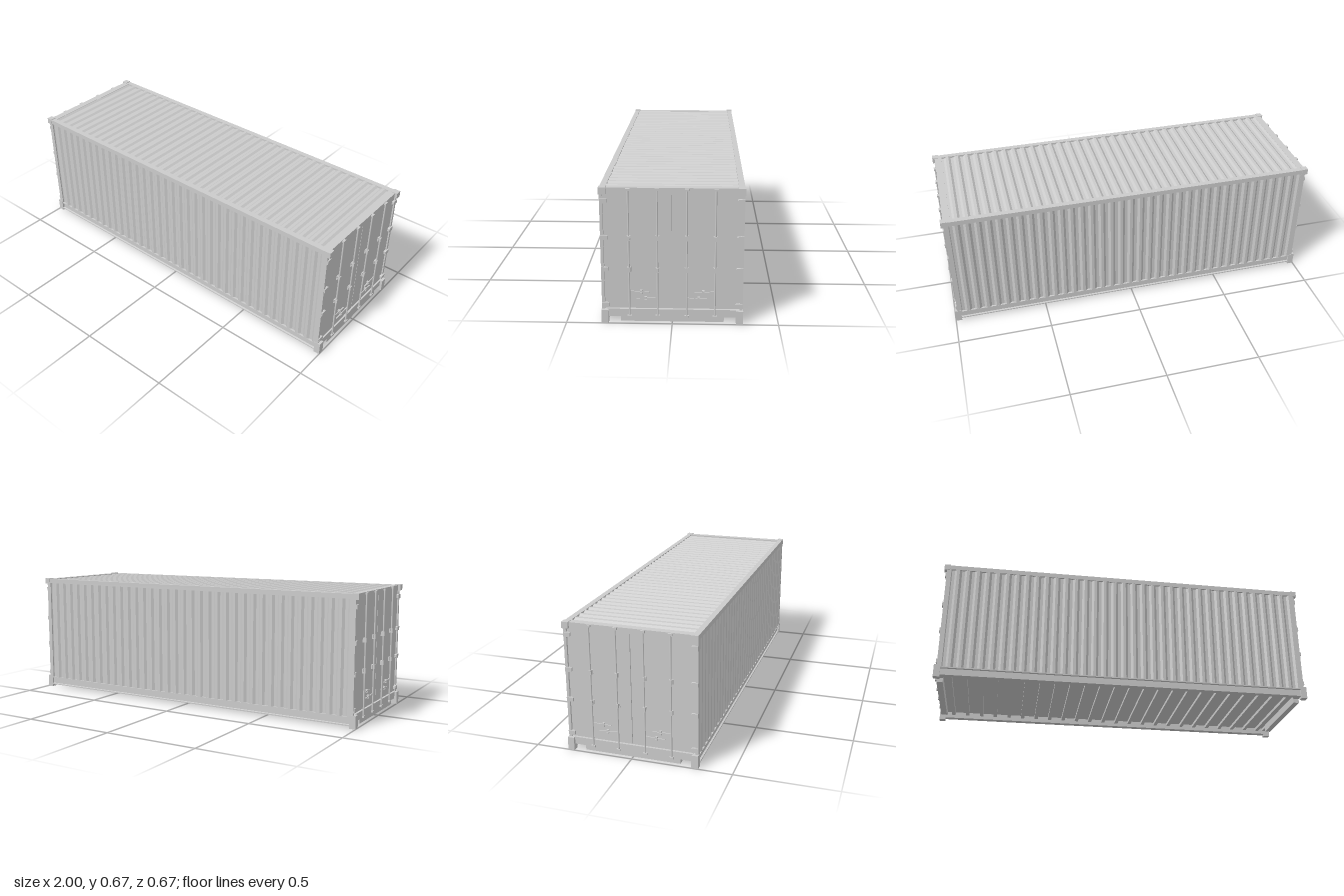
import * as THREE from 'three';

const material = new THREE.MeshStandardMaterial({ color: 0xcccccc, flatShading: true });
const smooth = new THREE.MeshStandardMaterial({ color: 0xcccccc });

function add(parent, name, geometry, mat = material) {
  const mesh = new THREE.Mesh(geometry, mat);
  mesh.name = name;
  parent.add(mesh);
  return mesh;
}

// Box given by its limits on each axis
function box(parent, name, x0, x1, y0, y1, z0, z1) {
  const g = new THREE.BoxGeometry(x1 - x0, y1 - y0, z1 - z0);
  g.translate((x0 + x1) / 2, (y0 + y1) / 2, (z0 + z1) / 2);
  return add(parent, name, g);
}

function extrude(points, depth) {
  const shape = new THREE.Shape(points.map(([x, y]) => new THREE.Vector2(x, y)));
  return new THREE.ExtrudeGeometry(shape, { depth, bevelEnabled: false });
}

// Outline in (z, y), extruded from x0 to x1
function alongX(parent, name, points, x0, x1) {
  const g = extrude(points.map(([z, y]) => [-z, y]), x1 - x0);
  g.rotateY(Math.PI / 2);
  g.translate(x0, 0, 0);
  return add(parent, name, g);
}

// Trapezoid corrugation along x, with a flat inner side
function corrugated(half, count, crest, valley, inner, depth) {
  const p = (2 * half) / count;
  const pts = [[-half, inner]];
  for (let i = 0; i < count; i++) {
    const x = -half + i * p;
    pts.push([x, crest], [x + 0.28 * p, crest], [x + 0.5 * p, valley], [x + 0.78 * p, valley]);
  }
  pts.push([half, crest], [half, inner]);
  return extrude(pts, depth);
}

// One long side: corrugated wall, top rail and bottom channel
function createSide() {
  const side = new THREE.Group();
  side.name = 'side';
  const wall = corrugated(0.97, 36, 0.3305, 0.321, 0.308, 0.59);
  wall.rotateX(-Math.PI / 2);
  wall.rotateY(Math.PI);
  wall.translate(0, 0.053, 0);
  add(side, 'sideWall', wall);
  box(side, 'topRail', -0.975, 0.975, 0.637, 0.662, 0.303, 0.331);
  alongX(side, 'bottomRail', [
    [0.3, 0.012], [0.331, 0.012], [0.331, 0.018], [0.322, 0.02],
    [0.322, 0.05], [0.331, 0.052], [0.331, 0.058], [0.3, 0.058],
  ], -0.975, 0.975);
  return side;
}

// Tapered handle lever with its latch, swung from the bar at z0 to z1
function createHandle(parent, z0, z1, y, latchZ) {
  const s = Math.sign(z1 - z0);
  const pts = [[z0, y + 0.006], [z0 + s * 0.03, y + 0.003], [z1, y + 0.001],
    [z1, y - 0.002], [z0 + s * 0.03, y - 0.003], [z0, y - 0.006]];
  alongX(parent, 'handle', pts, 0.985, 0.99);
  box(parent, 'handleLatch', 0.978, 0.992, y + 0.002, y + 0.009, latchZ - 0.005, latchZ + 0.005);
  box(parent, 'handleLatch', 0.978, 0.992, y - 0.01, y - 0.003, latchZ - 0.005, latchZ + 0.005);
  box(parent, 'handlePivot', 0.978, 0.988, y - 0.003, y + 0.003, latchZ - 0.003, latchZ + 0.003);
}

// One end: frame, pair of doors, hinges, locking bars and handles
function createEnd() {
  const end = new THREE.Group();
  end.name = 'doorEnd';
  box(end, 'header', 0.95, 0.987, 0.633, 0.662, -0.305, 0.305);
  alongX(end, 'sill', [
    [-0.305, 0.03], [-0.243, 0.03], [-0.243, 0.007], [0.243, 0.007],
    [0.243, 0.03], [0.305, 0.03], [0.305, 0.068], [-0.305, 0.068],
  ], 0.955, 0.987);
  box(end, 'doorSeal', 0.95, 0.969, 0.06, 0.64, -0.32, 0.32);

  for (const s of [-1, 1]) {
    const span = (name, x0, x1, y0, y1, a, b) =>
      box(end, name, x0, x1, y0, y1, Math.min(s * a, s * b), Math.max(s * a, s * b));
    span('cornerPost', 0.962, 0.986, 0.06, 0.637, 0.317, 0.331);
    span('topCorner', 0.967, 1, 0.633, 0.665, 0.3, 0.333);
    span('bottomCorner', 0.967, 1, 0, 0.067, 0.3, 0.333);
    span('door', 0.96, 0.98, 0.071, 0.631, 0.0015, 0.3145);

    for (const y of [0.09, 0.268, 0.423, 0.6]) {
      alongX(end, 'hinge', [
        [s * 0.297, y - 0.008], [s * 0.306, y - 0.011], [s * 0.33, y - 0.011],
        [s * 0.33, y + 0.011], [s * 0.306, y + 0.011], [s * 0.297, y + 0.008],
      ], 0.978, 0.992);
    }

    for (const z of [0.068, 0.2]) {
      const bar = new THREE.CylinderGeometry(0.0042, 0.0042, 0.627, 12);
      bar.translate(0.991, 0.345, s * z);
      add(end, 'lockingBar', bar, smooth);
      for (const y of [0.035, 0.655]) {
        span('barKeeper', 0.984, 0.998, y - 0.005, y + 0.005, z - 0.01, z + 0.01);
      }
      for (const y of [0.268, 0.423]) {
        span('barBracket', 0.978, 0.986, y - 0.011, y + 0.011, z - 0.01, z + 0.01);
        span('barGuide', 0.984, 0.998, y - 0.011, y + 0.011, z - 0.006, z + 0.006);
      }
    }
    createHandle(end, s * 0.2, s * 0.105, 0.156, s * 0.145);
    createHandle(end, s * 0.068, s * 0.168, 0.123, s * 0.124);
  }
  return end;
}

export function createModel() {
  const model = new THREE.Group();
  model.name = 'container';

  for (const angle of [0, Math.PI]) {
    const side = createSide();
    const end = createEnd();
    side.rotation.y = end.rotation.y = angle;
    model.add(side, end);
  }

  // Corrugated roof
  const roof = corrugated(0.965, 36, 0.6605, 0.652, 0.64, 0.61);
  roof.translate(0, 0, -0.305);
  add(model, 'roof', roof);

  // Floor on cross beams
  box(model, 'floor', -0.96, 0.96, 0.046, 0.058, -0.305, 0.305);
  const beams = 24;
  for (let i = 0; i < beams; i++) {
    const x = -0.92 + (1.84 * i) / (beams - 1);
    box(model, 'crossBeam', x - 0.01, x + 0.01, 0.03, 0.047, -0.303, 0.303);
  }
  return model;
}
